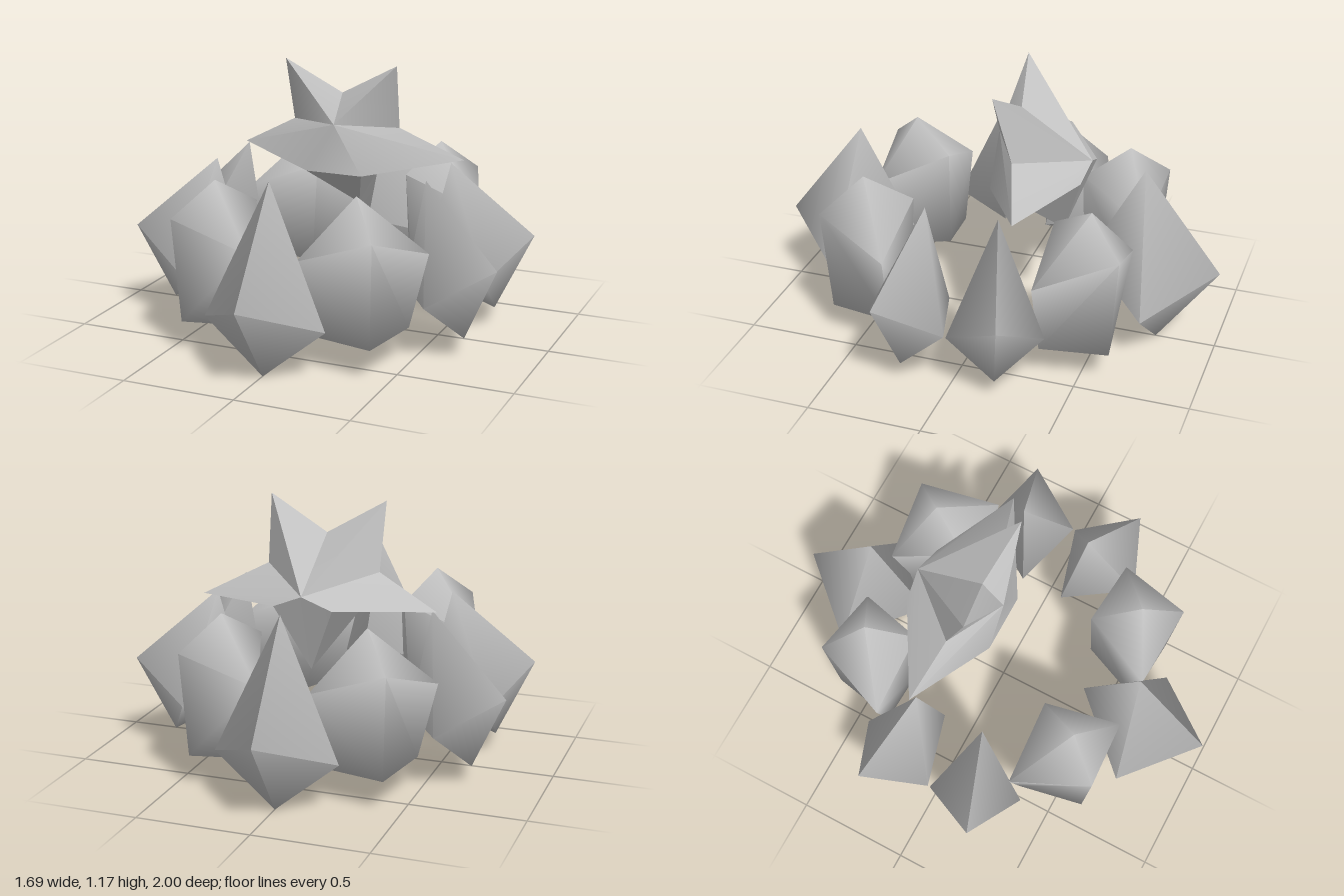
import * as THREE from 'three';
import { toCreasedNormals } from 'three/addons/utils/BufferGeometryUtils.js';

// Closed solid from corner points and triangles; each triangle is turned to face away from the centre.
function solid(points, faces, centre, crease) {
  const p = points.map((a) => new THREE.Vector3(...a));
  const c = new THREE.Vector3();
  if (centre) c.set(...centre);
  else p.forEach((v) => c.addScaledVector(v, 1 / p.length));
  const pos = [];
  for (const f of faces) {
    const [a, b, d] = f.map((i) => p[i]);
    const n = b.clone().sub(a).cross(d.clone().sub(a));
    const mid = a.clone().add(b).add(d).divideScalar(3).sub(c);
    for (const v of n.dot(mid) < 0 ? [a, d, b] : [a, b, d]) pos.push(v.x, v.y, v.z);
  }
  const g = new THREE.BufferGeometry();
  g.setAttribute('position', new THREE.Float32BufferAttribute(pos, 3));
  return toCreasedNormals(g, crease);
}

// Eight-sided pod. Corners: top, bottom, then outer, side, inner, side.
const octaFaces = [];
// Box-bodied pod. Corners: top, four shoulders, four feet.
const boxFaces = [[5, 6, 7], [5, 7, 8]];
for (let i = 0; i < 4; i++) {
  const j = (i + 1) % 4;
  octaFaces.push([0, 2 + i, 2 + j], [1, 2 + i, 2 + j]);
  boxFaces.push([0, 1 + i, 1 + j], [1 + i, 5 + i, 5 + j], [1 + i, 5 + j, 1 + j]);
}

const endPod = [
  [0, 0.81, 0.655], [0, 0, 0.735],
  [0.01, 0.36, 1], [0.27, 0.22, 0.71], [0, 0.36, 0.41], [-0.27, 0.22, 0.72],
];
const sidePod = [
  [0.49, 0.74, 0.16], [0.69, 0.085, 0.21],
  [0.845, 0.42, 0.27], [0.71, 0.27, 0.005], [0.38, 0.25, 0.1], [0.57, 0.26, 0.39],
];
const cornerPod = [
  [0.32, 0.745, 0.51],
  [0.45, 0.6, 0.665], [0.57, 0.48, 0.33], [0.22, 0.62, 0.32], [0.11, 0.48, 0.64],
  [0.43, 0.14, 0.63], [0.49, 0.15, 0.34], [0.25, 0.155, 0.33], [0.14, 0.15, 0.59],
];

// Star: points and notches run around the rim from the upper right.
const starPoints = [
  [0, 0.9, 0], [0, 0.82, -0.42],                 // 0 front centre, 1 rear centre
  [0, 1.025, -0.1],                              // 2 top notch
  [0.27, 1.17, -0.06], [0.255, 0.88, -0.14],     // 3 upper point, 4 side notch
  [0.525, 0.74, -0.23],                          // 5 side point
  [0.13, 0.68, 0], [0.13, 0.765, -0.405],        // 6 lower front notch, 7 lower rear notch
  [-0.25, 1.17, -0.05], [-0.25, 0.88, -0.14],    // 8, 9
  [-0.515, 0.74, -0.18],                         // 10
  [-0.13, 0.68, 0], [-0.13, 0.765, -0.405],      // 11, 12
  [0, 0.47, -0.3],                               // 13 lowest point
];
const starFaces = [[0, 6, 11], [6, 11, 13]];
for (const k of [3, 8]) {
  starFaces.push(
    [0, 2, k], [0, k, k + 1], [0, k + 1, k + 2], [0, k + 2, k + 3],
    [1, 2, k], [1, k, k + 1], [1, k + 1, k + 2], [1, k + 2, k + 4], [1, k + 4, 13],
    [k + 2, k + 3, k + 4], [k + 3, 13, k + 4],
  );
}

export function createModel() {
  const group = new THREE.Group();
  const grey = new THREE.MeshStandardMaterial({ color: 0xc0c0c0 });
  grey.name = 'grey';
  const add = (name, geometry) => {
    const mesh = new THREE.Mesh(geometry, grey);
    mesh.name = name;
    group.add(mesh);
  };
  const mirrored = (pts, sx, sz) => pts.map(([x, y, z]) => [x * sx, y, z * sz]);

  // Ring of ten pods
  for (const sz of [1, -1]) {
    const end = sz > 0 ? 'front' : 'back';
    add(end + 'Pod', solid(mirrored(endPod, sz, sz), octaFaces, null, 1.65));
    for (const sx of [1, -1]) {
      const side = sx > 0 ? 'Left' : 'Right';
      add(end + side + 'SidePod', solid(mirrored(sidePod, sx, sz), octaFaces, null, 1.65));
      add(end + side + 'CornerPod', solid(mirrored(cornerPod, sx, sz), boxFaces, null, 1.65));
    }
  }

  // Tilted star above the ring
  add('star', solid(starPoints, starFaces, [0, 0.8, -0.2], 0.6));
  return group;
}
